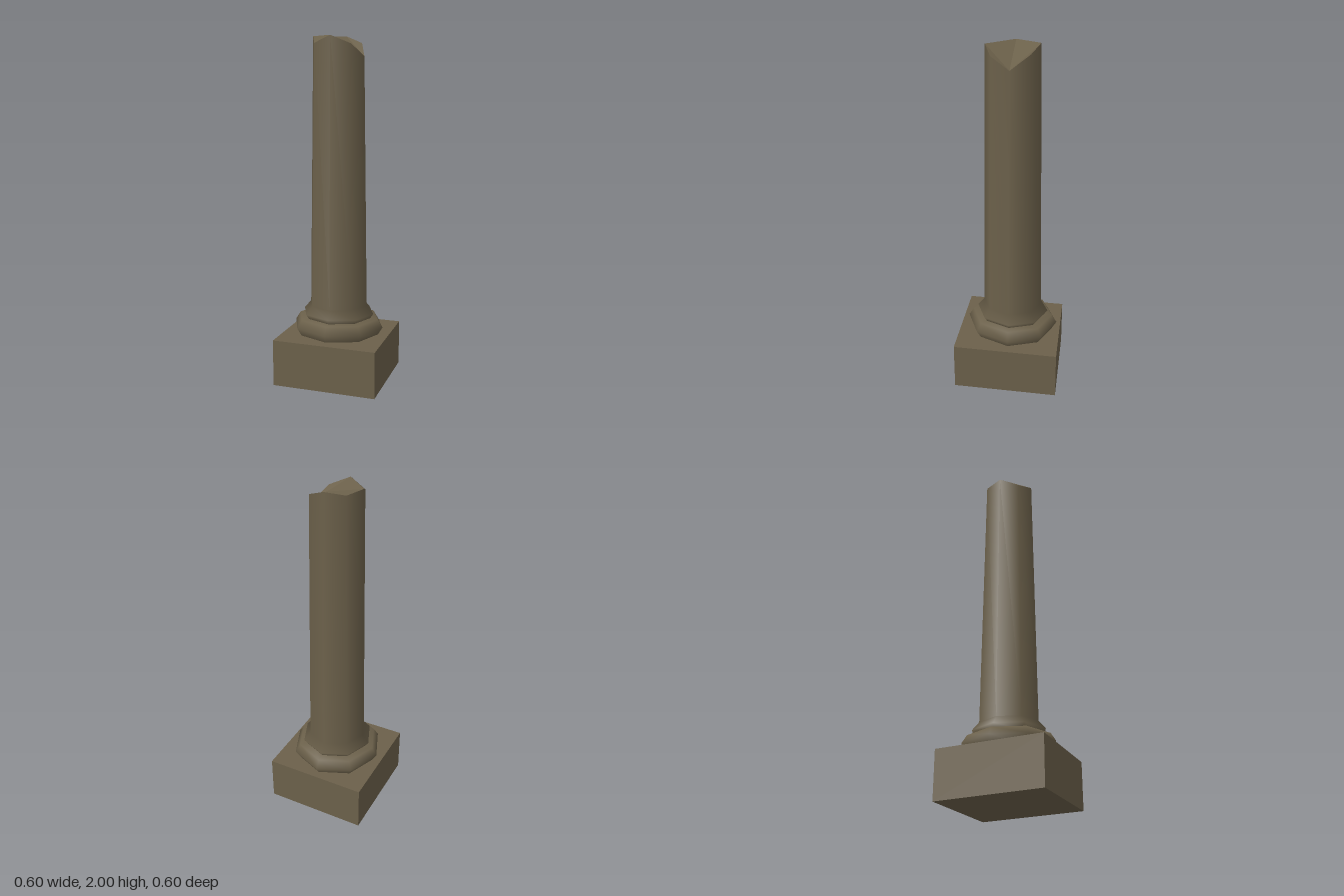
import * as THREE from 'three';

const SIDES = 8;
const AXIS_X = -0.005, AXIS_Z = -0.01;

// Slight lean of all horizontal layers, as on a settled ruin
const lean = (x, z) => 0.03 * z - 0.005 * x;

function applyLean(geometry) {
  const p = geometry.attributes.position;
  for (let i = 0; i < p.count; i++) p.setY(i, p.getY(i) + lean(p.getX(i), p.getZ(i)));
  return geometry;
}

// Eight-sided turned piece, profile given from bottom to top
function turned(profile) {
  const g = new THREE.LatheGeometry(profile.map(([r, y]) => new THREE.Vector2(r, y)), SIDES);
  return applyLean(g.translate(AXIS_X, 0, AXIS_Z));
}

export function createModel() {
  const group = new THREE.Group();
  const stone = new THREE.MeshStandardMaterial({ color: 0x6b604a });
  stone.name = 'weatheredStone';
  const add = (name, geometry) => {
    const mesh = new THREE.Mesh(geometry, stone);
    mesh.name = name;
    group.add(mesh);
  };

  // Square plinth
  add('plinth', applyLean(new THREE.BoxGeometry(0.6, 0.27, 0.6).translate(0, 0.1455, 0)));

  // Rounded base ring
  add('baseRing', turned([[0.24, 0.275], [0.27, 0.325], [0.24, 0.372], [0.16, 0.376]]));

  // Tapering shaft with flared foot
  const profile = [[0.19, 0.368], [0.213, 0.402], [0.173, 0.45], [0.15, 1.95]];
  const shaft = turned(profile);

  // Broken rim heights, from the front round through +x
  const rim = [1.99, 1.945, 1.88, 1.958, 2.0, 1.985, 1.994, 1.952];
  const pos = shaft.attributes.position;
  const topIndex = (i) => i * profile.length + profile.length - 1;
  for (let i = 0; i <= SIDES; i++) pos.setY(topIndex(i), rim[i % SIDES]);
  add('shaft', shaft);

  // Faceted broken top, made of triangles between rim corners
  const corners = [6, 0, 2, 2, 4, 6, 6, 7, 0, 0, 1, 2, 2, 3, 4, 4, 5, 6];
  const points = corners.map((i) => new THREE.Vector3().fromBufferAttribute(pos, topIndex(i)));
  const cap = new THREE.BufferGeometry().setFromPoints(points);
  cap.computeVertexNormals();
  add('brokenTop', cap);

  return group;
}
